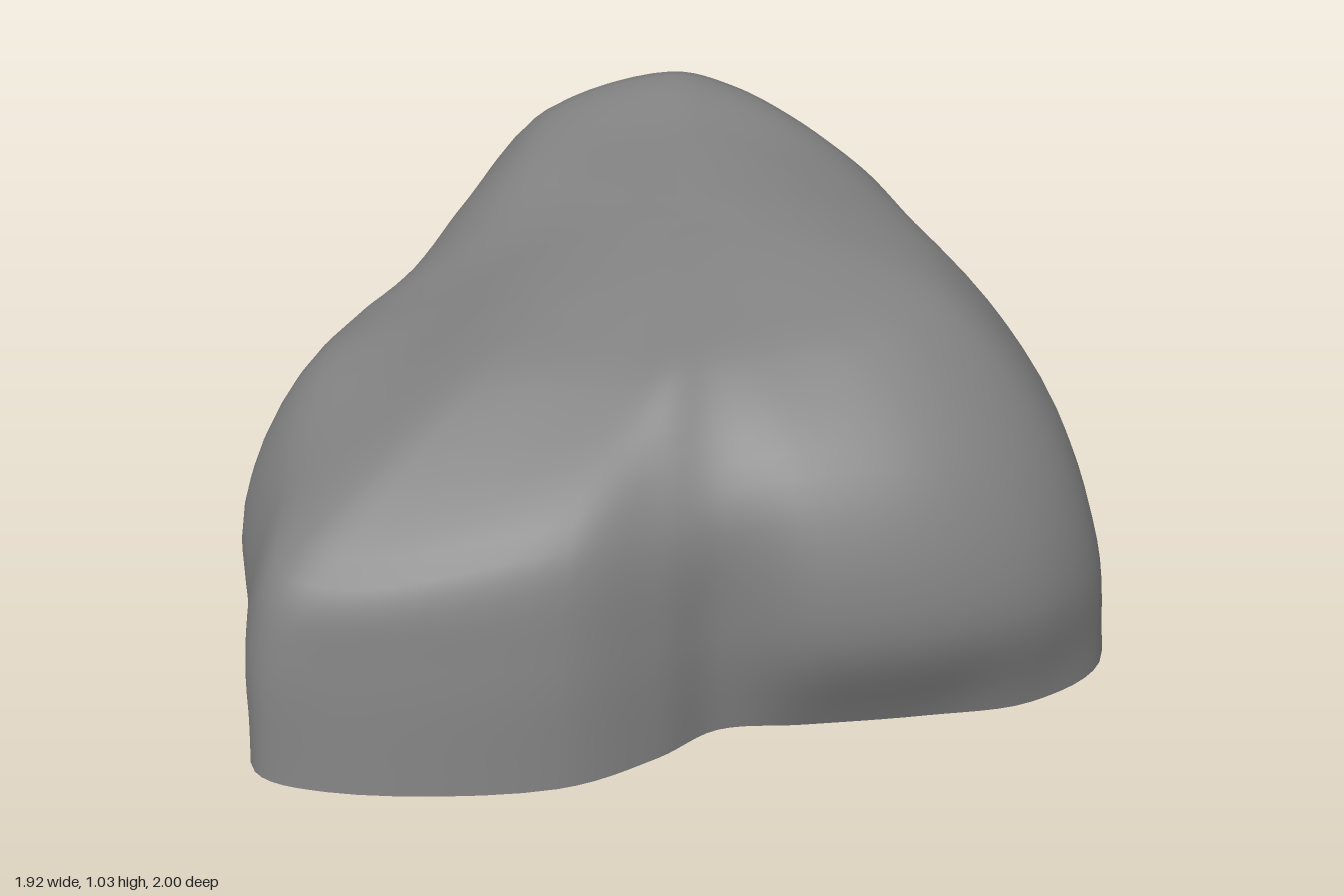
import * as THREE from 'three';

// Each row is one rib of the rock, going round from the left side over the back:
// foot x, foot z, scale at LOW_Y, shoulder scale, shoulder y, crown scale, crown y
const RIBS = [
  [0.96, 0.22, 0.98, 0.86, 0.58, 0.62, 0.83],
  [0.85, -0.14, 0.97, 0.87, 0.58, 0.64, 0.83],
  [0.56, -0.40, 0.99, 0.95, 0.57, 0.76, 0.84],
  [0.46, -0.67, 0.97, 0.87, 0.64, 0.66, 0.88],
  [0.25, -0.80, 0.96, 0.88, 0.66, 0.65, 0.94],
  [0.00, -0.92, 0.97, 0.88, 0.68, 0.63, 0.99],
  [-0.25, -1.00, 0.96, 0.84, 0.70, 0.57, 1.02],
  [-0.64, -0.78, 0.98, 0.88, 0.65, 0.63, 0.95],
  [-0.69, -0.42, 0.99, 0.94, 0.64, 0.68, 0.89],
  [-0.80, -0.20, 1.00, 0.90, 0.60, 0.64, 0.81],
  [-0.85, 0.05, 1.05, 0.93, 0.61, 0.64, 0.75],
  [-0.86, 0.32, 1.11, 0.94, 0.63, 0.64, 0.73],
  [-0.83, 0.65, 1.04, 0.93, 0.55, 0.62, 0.73],
  [-0.79, 0.95, 0.98, 0.92, 0.46, 0.55, 0.74],
  [-0.62, 1.00, 0.96, 0.91, 0.45, 0.53, 0.75],
  [-0.14, 0.91, 0.97, 0.89, 0.53, 0.57, 0.75],
  [0.05, 0.76, 0.99, 0.93, 0.53, 0.66, 0.77],
  [0.16, 0.63, 1.05, 1.02, 0.55, 0.72, 0.78],
  [0.34, 0.58, 1.17, 1.05, 0.58, 0.70, 0.79],
  [0.60, 0.50, 1.16, 1.03, 0.58, 0.70, 0.80],
  [0.82, 0.41, 1.06, 0.93, 0.58, 0.64, 0.82],
];
const LOW_Y = 0.28;
const APEX = new THREE.Vector3(0, 0.92, 0);
const AROUND = 126;
const UP = 36;

// Height of the tilted plateau on top, rising to the back
const plateau = (x, z) => APEX.y + 0.08 * x - 0.21 * z;

// Closed smooth curve through one height level of every rib
function ring(scaleOf, heightOf) {
  const points = RIBS.map((r) => new THREE.Vector3(r[0] * scaleOf(r), heightOf(r), r[1] * scaleOf(r)));
  return new THREE.CatmullRomCurve3(points, true);
}

// Ring inside the crown; flatness 1 lies fully on the plateau
function topRing(shrink, flatness) {
  return ring(
    (r) => r[5] * shrink,
    (r) => {
      const s = r[5] * shrink;
      const edgeGap = r[6] - plateau(r[0] * r[5], r[1] * r[5]);
      return plateau(r[0] * s, r[1] * s) + edgeGap * (1 - flatness);
    },
  );
}

function rockGeometry() {
  const rings = [
    ring(() => 1, () => 0),
    ring((r) => r[2], () => LOW_Y),
    ring((r) => r[3], (r) => r[4]),
    ring((r) => r[5], (r) => r[6]),
    topRing(0.6, 0.72),
    topRing(0.25, 1),
  ];

  // Smooth ribs from the foot to the apex
  const positions = [];
  for (let i = 0; i < AROUND; i++) {
    const rib = new THREE.CatmullRomCurve3([...rings.map((c) => c.getPoint(i / AROUND)), APEX]);
    for (let j = 0; j < UP; j++) {
      const p = rib.getPoint(j / UP);
      positions.push(p.x, Math.max(p.y, 0), p.z);
    }
  }
  positions.push(APEX.x, APEX.y, APEX.z);

  // Skin between neighbouring ribs, closed by a fan at the apex
  const apex = AROUND * UP;
  const index = [];
  for (let i = 0; i < AROUND; i++) {
    const a = i * UP;
    const b = ((i + 1) % AROUND) * UP;
    for (let j = 0; j < UP - 1; j++) {
      index.push(a + j, b + j, b + j + 1, a + j, b + j + 1, a + j + 1);
    }
    index.push(a + UP - 1, b + UP - 1, apex);
  }

  const geometry = new THREE.BufferGeometry();
  geometry.setAttribute('position', new THREE.Float32BufferAttribute(positions, 3));
  geometry.setIndex(index);
  geometry.computeVertexNormals();
  return geometry;
}

export function createModel() {
  const group = new THREE.Group();
  group.name = 'boulder';
  // Hollow shell, open underneath
  const material = new THREE.MeshStandardMaterial({ color: 0x808080, side: THREE.DoubleSide });
  const rock = new THREE.Mesh(rockGeometry(), material);
  rock.name = 'rockShell';
  group.add(rock);
  return group;
}
